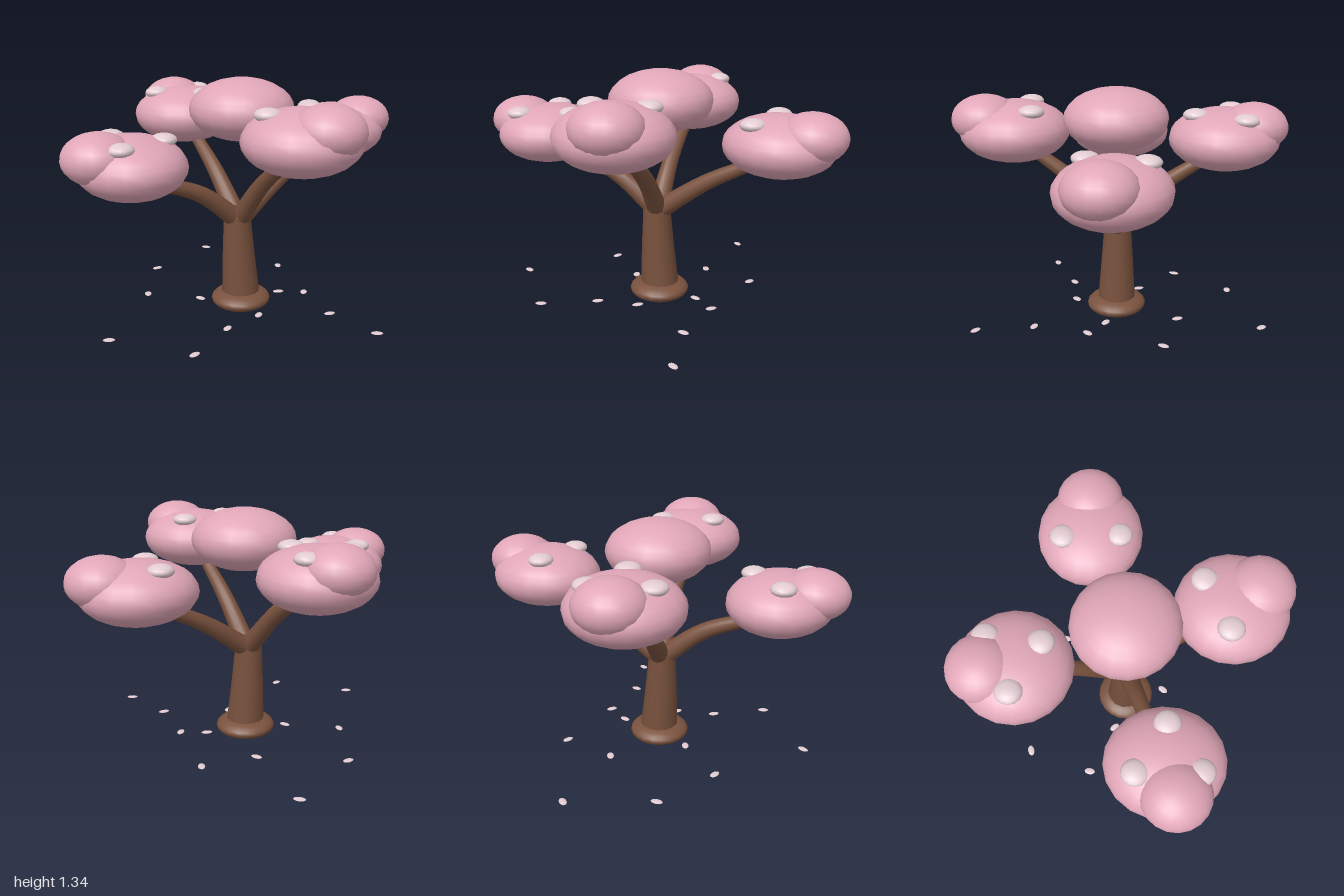
import * as THREE from 'three';

const bark = new THREE.MeshStandardMaterial({ name: 'bark brown', color: 0x7a523e });
const blossom = new THREE.MeshStandardMaterial({ name: 'blossom pink', color: 0xe0a6b7 });
const pale = new THREE.MeshStandardMaterial({ name: 'pale petal', color: 0xe2ccd2 });

const V = (x, y, z) => new THREE.Vector3(x, y, z);

function ellipsoid(name, material, [x, y, z], [rx, ry, rz], w = 20, h = 14) {
  const mesh = new THREE.Mesh(new THREE.SphereGeometry(1, w, h), material);
  mesh.name = name;
  mesh.position.set(x, y, z);
  mesh.scale.set(rx, ry, rz);
  return mesh;
}

// Round limb along a smooth path, tapering from r0 to r1
function limb(name, points, r0, r1) {
  const segments = 14, sides = 14;
  const curve = new THREE.CatmullRomCurve3(points);
  const geometry = new THREE.TubeGeometry(curve, segments, 1, sides);
  const pos = geometry.attributes.position;
  const v = new THREE.Vector3();
  for (let i = 0; i < pos.count; i++) {
    const t = Math.floor(i / (sides + 1)) / segments;
    const c = curve.getPointAt(t);
    v.fromBufferAttribute(pos, i).sub(c).multiplyScalar(r0 + (r1 - r0) * t).add(c);
    pos.setXYZ(i, v.x, v.y, v.z);
  }
  const mesh = new THREE.Mesh(geometry, bark);
  mesh.name = name;
  return mesh;
}

// Each canopy: main puff, outer lobe, supporting branch (middle, end), flower spots (x, z)
const canopies = [
  { name: 'front', puff: [0.105, 1.1, 0.565], r: [0.302, 0.167, 0.302], lobe: [0.175, 1.17, 0.705],
    branch: [V(0.035, 0.79, 0.22), V(0.08, 0.98, 0.46)], spots: [[0.21, 0.42], [-0.06, 0.53]] },
  { name: 'back', puff: [-0.16, 1.067, -0.55], r: [0.302, 0.167, 0.302], lobe: [-0.185, 1.135, -0.705],
    branch: [V(-0.08, 0.78, -0.21), V(-0.13, 0.95, -0.45)], spots: [[-0.33, -0.56], [-0.085, -0.405], [-0.04, -0.68]] },
  { name: 'left', puff: [0.635, 0.98, -0.155], r: [0.308, 0.165, 0.29], lobe: [0.815, 1.045, -0.15],
    branch: [V(0.26, 0.74, -0.06), V(0.53, 0.88, -0.13)], spots: [[0.555, -0.3], [0.555, 0.005]] },
  { name: 'right', puff: [-0.65, 0.95, 0.185], r: [0.285, 0.164, 0.312], lobe: [-0.82, 1.015, 0.225],
    branch: [V(-0.26, 0.735, 0.08), V(-0.53, 0.845, 0.15)], spots: [[-0.72, 0.03], [-0.485, 0.2], [-0.73, 0.35]] },
];

// Fallen petals: x, z, turn about y
const petals = [
  [0.05, -0.84, -0.6], [0.08, -0.37, -0.9], [0.39, -0.36, 1.3], [-0.505, -0.225, 1.4], [0.375, 0.07, 1.0],
  [-0.205, 0.35, 0.8], [-0.45, 0.555, 0.5], [0.39, 0.38, 0], [0.52, 0.675, -0.4], [-0.825, 0.26, -0.3],
  [0.01, 0.26, 0.9], [-0.23, -0.06, -1.0], [0.235, 0.01, -0.2], [-0.36, -0.59, 0.2],
];

export function createModel() {
  const tree = new THREE.Group();
  tree.name = 'blossomTree';

  // Trunk, root flare and the rounded fork where the branches meet
  tree.add(ellipsoid('rootFlare', bark, [-0.008, 0.066, 0.018], [0.17, 0.061, 0.17]));
  tree.add(limb('trunk', [V(-0.005, 0.06, 0.016), V(-0.018, 0.3, 0.016), V(-0.028, 0.57, 0.015)], 0.112, 0.076));
  tree.add(ellipsoid('fork', bark, [-0.027, 0.57, 0.015], [0.076, 0.06, 0.076]));

  // Central crown
  tree.add(ellipsoid('centreCanopy', blossom, [0, 1.175, 0.015], [0.287, 0.17, 0.287]));

  for (const { name, puff, r, lobe, branch, spots } of canopies) {
    const group = new THREE.Group();
    group.name = name + 'Canopy';
    group.add(limb(name + 'Branch', [V(-0.02, 0.54, 0.015), ...branch], 0.058, 0.034));
    group.add(ellipsoid(name + 'BranchTip', bark, branch[1].toArray(), [0.034, 0.034, 0.034], 12, 8));
    group.add(ellipsoid(name + 'Puff', blossom, puff, r));
    group.add(ellipsoid(name + 'Lobe', blossom, lobe, [0.183, 0.132, 0.183]));
    // Flower spots rest on the upper surface of the puff
    for (const [x, z] of spots) {
      const d = ((x - puff[0]) / r[0]) ** 2 + ((z - puff[2]) / r[2]) ** 2;
      const y = puff[1] + r[1] * Math.sqrt(Math.max(0, 1 - d)) - 0.005;
      group.add(ellipsoid(name + 'FlowerSpot', pale, [x, y, z], [0.069, 0.035, 0.071], 14, 10));
    }
    tree.add(group);
  }

  // Petals scattered around the trunk
  for (const [x, z, turn] of petals) {
    const petal = ellipsoid('fallenPetal', pale, [x, 0.056, z], [0.033, 0.005, 0.02], 12, 6);
    petal.rotation.y = turn;
    tree.add(petal);
  }
  return tree;
}
